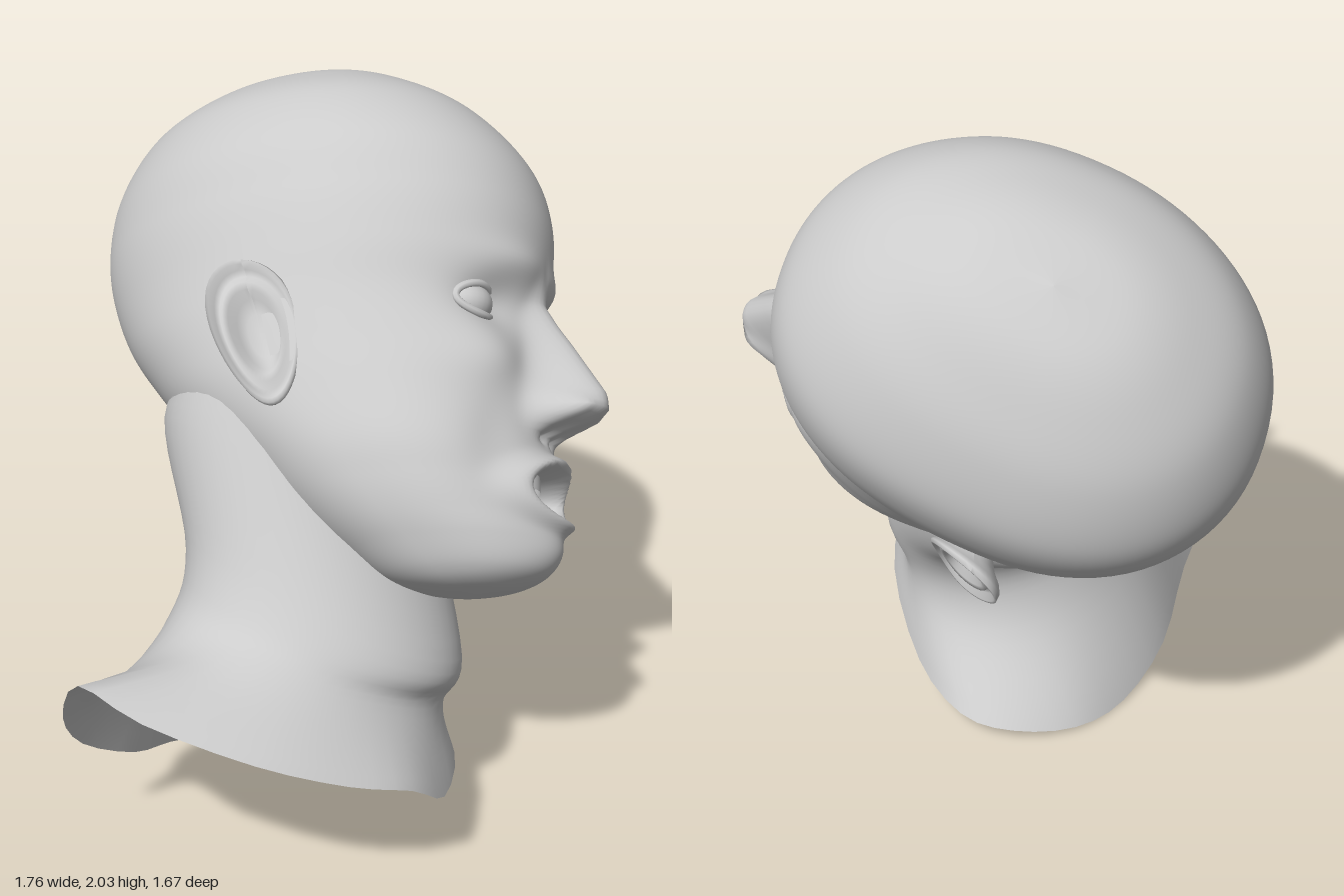
import * as THREE from 'three';

const material = new THREE.MeshStandardMaterial({ color: 0xcccccc, side: THREE.DoubleSide });
const V = (x, y, z) => new THREE.Vector3(x, y, z);
const { smoothstep, clamp } = THREE.MathUtils;
const bump = (x, y, x0, y0, sx, sy) => Math.exp(-(((x - x0) / sx) ** 2) - ((y - y0) / sy) ** 2);
const spow = (v, p) => Math.sign(v) * Math.abs(v) ** p;

function add(parent, name, geometry) {
  const mesh = new THREE.Mesh(geometry, material);
  mesh.name = name;
  parent.add(mesh);
  return mesh;
}

// Closed rings of points, stacked from bottom to top
function loft(rows, cols, pointAt) {
  const pos = [], index = [];
  for (let i = 0; i <= rows; i++) {
    for (let j = 0; j < cols; j++) pos.push(...pointAt(i / rows, j / cols).toArray());
  }
  for (let i = 0; i < rows; i++) {
    for (let j = 0; j < cols; j++) {
      const k = (j + 1) % cols;
      const a = i * cols + j, b = i * cols + k, c = b + cols, d = a + cols;
      index.push(a, b, c, a, c, d);
    }
  }
  const g = new THREE.BufferGeometry();
  g.setAttribute('position', new THREE.Float32BufferAttribute(pos, 3));
  g.setIndex(index);
  g.computeVertexNormals();
  return g;
}

// Skull and jaw sections: height, half width, front, back
const SECTIONS = [
  [-0.65, 0.0, 0.45, 0.45], [-0.64, 0.12, 0.55, 0.33], [-0.605, 0.2, 0.625, 0.21],
  [-0.53, 0.275, 0.65, 0.1], [-0.46, 0.33, 0.645, 0.01], [-0.38, 0.375, 0.645, -0.08],
  [-0.28, 0.415, 0.65, -0.18], [-0.13, 0.445, 0.655, -0.36], [0, 0.465, 0.65, -0.47],
  [0.12, 0.485, 0.645, -0.555], [0.25, 0.505, 0.68, -0.61], [0.4, 0.515, 0.69, -0.63],
  [0.55, 0.495, 0.65, -0.6], [0.7, 0.405, 0.53, -0.51], [0.8, 0.29, 0.385, -0.38],
  [0.87, 0.16, 0.22, -0.22], [0.898, 0, 0.0, 0.0],
];

// Relief of the face, added along the forward axis
function faceRelief(x, y) {
  const ax = Math.abs(x);
  const t = clamp((0.14 - y) / 0.27, 0, 1);
  // nose ridge, wings and nostrils
  const nose = (0.03 + 0.145 * t) * smoothstep(y, -0.25, -0.17) * (1 - smoothstep(y, 0.1, 0.25));
  let d = nose * Math.exp(-((ax / (0.05 + 0.045 * t)) ** 2.6));
  d += 0.06 * bump(ax, y, 0.09, -0.18, 0.035, 0.04);
  d -= 0.03 * bump(ax, y, 0.04, -0.235, 0.025, 0.02);
  // brows, eye sockets, cheeks
  d += 0.02 * bump(ax, y, 0.17, 0.215, 0.13, 0.05);
  d -= 0.045 * bump(ax, y, 0.2, 0.1, 0.1, 0.07);
  d += 0.03 * bump(ax, y, 0.27, -0.06, 0.1, 0.08);
  d -= 0.015 * bump(ax, y, 0.24, -0.3, 0.07, 0.12);
  // open mouth with lips, then chin
  d += 0.03 * bump(x, y, 0, -0.39, 0.18, 0.17);
  const r = Math.hypot(x / 0.14, (y + 0.4) / 0.065);
  d += 0.045 * Math.exp(-(((r - 1.3) / 0.32) ** 2));
  d -= 0.18 * (1 - smoothstep(r, 0.6, 1.1));
  d += 0.03 * bump(x, y, 0, -0.56, 0.13, 0.07);
  return d;
}

function headGeometry() {
  const front = new THREE.CatmullRomCurve3(SECTIONS.map(([y, w, f]) => V(w, y, f)), false, 'catmullrom');
  const back = new THREE.CatmullRomCurve3(SECTIONS.map(([y, , , b]) => V(0, y, b)), false, 'catmullrom');
  return loft(150, 128, (v, u) => {
    const f = front.getPoint(v), zb = back.getPoint(v).z;
    const s = u * Math.PI * 2;
    const a = s - 0.45 * Math.sin(s); // denser towards the face
    const mid = (f.z + zb) / 2 - 0.03 * Math.min(1, f.x / 0.3);
    const x = f.x * spow(Math.sin(a), 0.93);
    const c = Math.cos(a);
    let z = mid + (c > 0 ? f.z - mid : mid - zb) * spow(c, 0.93);
    z += faceRelief(x, f.y) * smoothstep(c, 0, 0.45);
    // the skull sits slightly askew
    const skew = 0.055 * smoothstep(-z, -0.3, 0.5) * smoothstep(f.y, -0.1, 0.25) - 0.05 * smoothstep(f.y, 0.4, 0.9);
    return V(x + skew, f.y, z);
  });
}

// Ear: a turned rim-and-bowl profile, reshaped to an oval with a narrow lobe
function earGeometry(side) {
  const profile = [[0, 0.0], [0.3, 0.0], [0.48, 0.02], [0.58, 0.055], [0.68, 0.06], [0.78, 0.04],
    [0.86, 0.05], [0.92, 0.07], [0.98, 0.07], [1.0, 0.05], [0.94, 0.03], [0.75, 0.0], [0.5, -0.06], [0.4, -0.12]];
  const g = new THREE.LatheGeometry(profile.map(([r, h]) => new THREE.Vector2(r, h)), 40);
  const p = g.attributes.position;
  for (let i = 0; i < p.count; i++) {
    const up = p.getZ(i), rear = p.getX(i), h = p.getY(i);
    const width = 0.105 * (1 + 0.28 * up);
    const rim = h > 0 ? h * (0.7 + 0.3 * rear) : h;
    const out = 0.03 + rim + 0.035 * rear + 0.02 * up;
    p.setXYZ(i, side * out, up * 0.2, -rear * width - 0.03 * up);
  }
  g.computeVertexNormals();
  return g;
}

function buildHead() {
  const head = new THREE.Group();
  head.name = 'head';
  add(head, 'skullAndFace', headGeometry());

  for (const side of [1, -1]) {
    const label = side > 0 ? 'left' : 'right';
    const ear = add(head, label + 'Ear', earGeometry(side));
    ear.position.set(side * 0.45 + 0.015, 0.0, 0.015);

    // eyeball with a lid edge
    const eye = new THREE.Group();
    eye.name = label + 'Eye';
    eye.position.set(side * 0.215, 0.1, 0.49);
    eye.rotation.y = side * 0.25;
    add(eye, label + 'Eyeball', new THREE.SphereGeometry(0.09, 28, 18)).scale.y = 0.7;
    const lid = [];
    for (let i = 0; i < 20; i++) {
      const a = (i / 20) * Math.PI * 2;
      lid.push(V(0.085 * Math.cos(a), 0.043 * Math.sin(a), 0.04 + 0.035 * Math.sin(a) ** 2));
    }
    add(eye, label + 'Eyelids', new THREE.TubeGeometry(new THREE.CatmullRomCurve3(lid, true), 48, 0.011, 8, true));
    head.add(eye);
  }

  // upper teeth and tongue inside the mouth
  const teeth = add(head, 'upperTeeth', new THREE.CylinderGeometry(0.115, 0.115, 0.045, 24, 1, true, -1.2, 2.4));
  teeth.position.set(0, -0.36, 0.52);
  const tongue = add(head, 'tongue', new THREE.SphereGeometry(1, 24, 14));
  tongue.scale.set(0.09, 0.03, 0.12);
  tongue.position.set(0, -0.445, 0.54);

  // tilt sideways, turn and bow forward
  const X = V(0.72, -0.63, -0.3).normalize();
  const Z = X.clone().cross(V(0.41, 0.745, -0.527)).normalize();
  const Y = Z.clone().cross(X);
  head.setRotationFromMatrix(new THREE.Matrix4().makeBasis(X, Y, Z));
  head.position.set(0.14, 1.195, -0.03);
  return head;
}

// Neck flaring into an open, slanted shoulder rim (left, back, right, front)
function neckGeometry() {
  const rim = [[0.345, 0.06, 0.06], [0.27, 0.04, -0.09], [0.1, 0.01, -0.19], [-0.1, 0, -0.2],
    [-0.32, 0.08, -0.16], [-0.53, 0.2, -0.05], [-0.75, 0.37, 0.02], [-0.86, 0.55, 0.1],
    [-0.87, 0.71, 0.2], [-0.81, 0.67, 0.4], [-0.63, 0.59, 0.64], [-0.42, 0.5, 0.77],
    [-0.23, 0.42, 0.81], [-0.06, 0.29, 0.76], [0.16, 0.23, 0.57], [0.3, 0.1, 0.3]];
  const rimCurve = new THREE.CatmullRomCurve3(rim.map((p) => V(...p)), true, 'catmullrom');
  // centre, axis to the left, axis to the front
  const rings = [
    [V(-0.155, 0.51, 0.27), V(0.39, -0.21, 0), V(0.04, 0.03, 0.36)],
    [V(-0.065, 0.68, 0.25), V(0.335, -0.18, 0), V(0.07, -0.04, 0.375)],
    [V(0.055, 1.0, -0.01), V(0.355, -0.225, -0.07), V(0.1, 0.02, 0.36)],
    [V(0.13, 1.2, -0.04), V(0.31, -0.25, -0.1), V(0.1, 0.05, 0.27)],
  ];
  return loft(28, 48, (v, u) => {
    const a = u * Math.PI * 2;
    const path = [rimCurve.getPoint(u)];
    for (const [c, left, front] of rings) {
      path.push(c.clone().addScaledVector(left, Math.cos(a)).addScaledVector(front, -Math.sin(a)));
    }
    return new THREE.CatmullRomCurve3(path, false, 'catmullrom').getPoint(v);
  });
}

export function createModel() {
  const model = new THREE.Group();
  model.name = 'bust';
  add(model, 'neckAndShoulders', neckGeometry());
  model.add(buildHead());
  return model;
}
